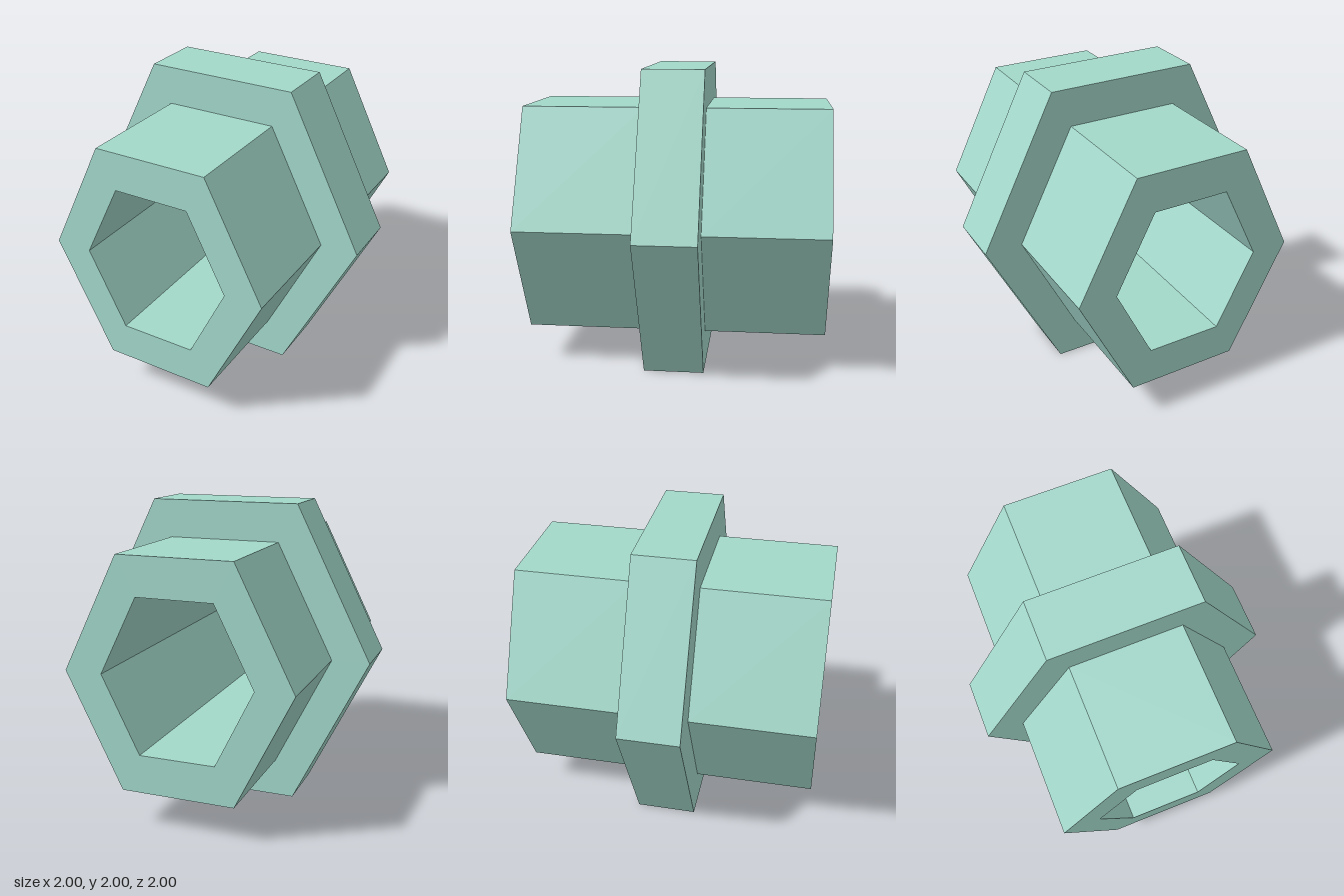
import * as THREE from 'three';

const material = new THREE.MeshStandardMaterial({ color: 0xa3d8ca, flatShading: true });

// Six-sided ring surface swept from [radius, z] pairs, running back to front on the outside
function hexRing(name, profile) {
  const points = profile.map(([r, z]) => new THREE.Vector2(r, z));
  const geometry = new THREE.LatheGeometry(points, 6, Math.PI / 2)
    .rotateX(Math.PI / 2)
    .scale(1, 1 / Math.sin(Math.PI / 3), 1); // stretched so height equals width
  const mesh = new THREE.Mesh(geometry, material);
  mesh.name = name;
  return mesh;
}

export function createModel() {
  const bore = 0.5, barrel = 0.75, flange = 1;
  const halfLength = 1, halfFlange = 0.2;

  const model = new THREE.Group();
  model.name = 'flangedHexSleeve';
  model.add(
    // Barrels with their annular end faces
    hexRing('rearBarrel', [[bore, -halfLength], [barrel, -halfLength], [barrel, -halfFlange]]),
    hexRing('frontBarrel', [[barrel, halfFlange], [barrel, halfLength], [bore, halfLength]]),
    // Raised collar around the middle
    hexRing('flange', [
      [barrel, -halfFlange], [flange, -halfFlange],
      [flange, halfFlange], [barrel, halfFlange],
    ]),
    // Through hole, facing inward
    hexRing('bore', [[bore, halfLength], [bore, -halfLength]]),
  );
  model.children.forEach((part) => { part.position.y = 1; });
  return model;
}
